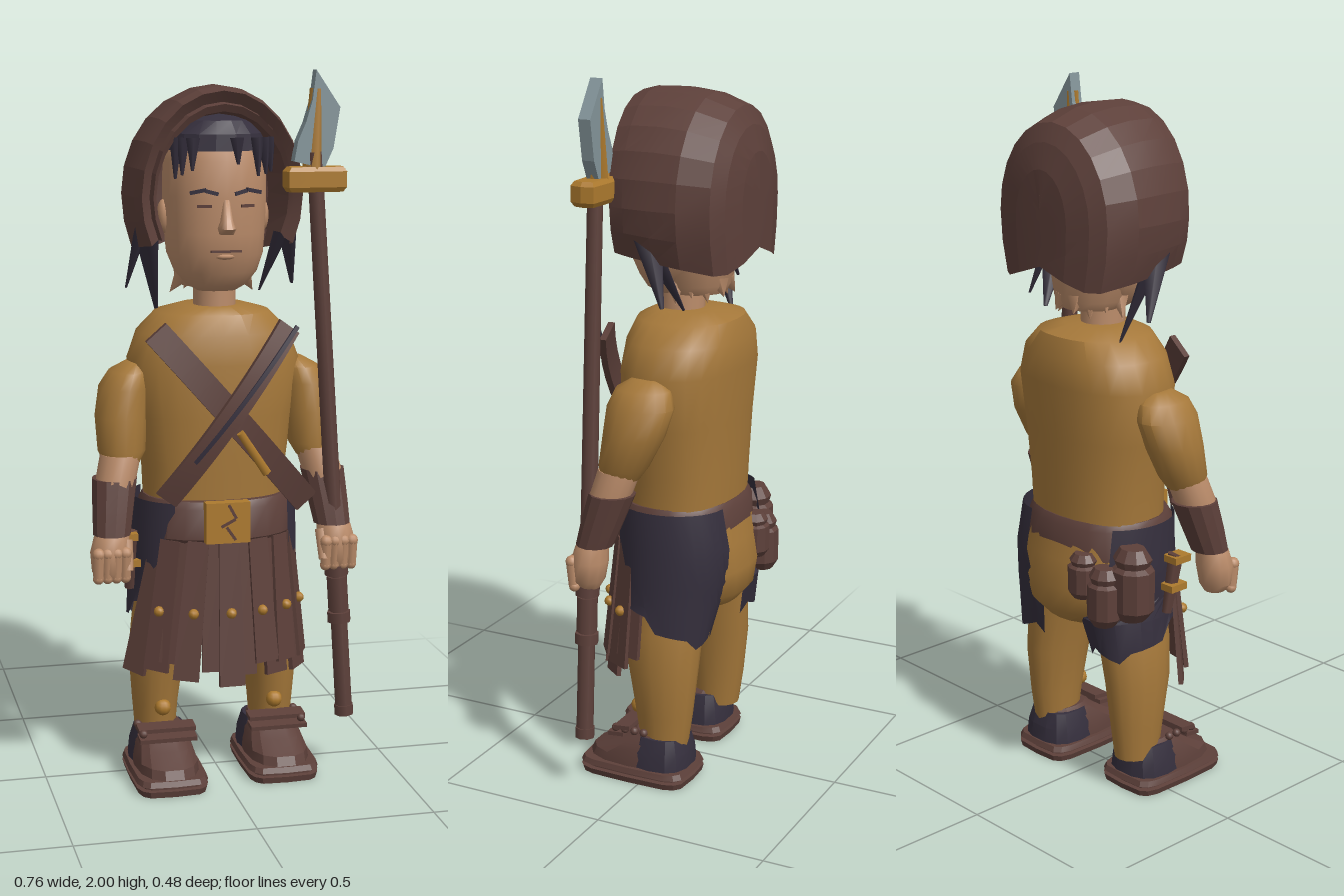
import * as THREE from 'three';
import { toCreasedNormals } from 'three/addons/utils/BufferGeometryUtils.js';

const V = (x, y, z) => new THREE.Vector3(x, y, z);

// Surface through rows of points; closed rows wrap around
function grid(rows, closed, crease) {
  const n = rows[0].length, pos = [], idx = [];
  rows.forEach(r => r.forEach(p => pos.push(p.x, p.y, p.z)));
  for (let i = 0; i < rows.length - 1; i++) {
    for (let j = 0; j < (closed ? n : n - 1); j++) {
      const k = (j + 1) % n, a = i * n + j, b = a + n, c = i * n + k, d = c + n;
      idx.push(a, b, c, b, d, c);
    }
  }
  const g = new THREE.BufferGeometry();
  g.setAttribute('position', new THREE.Float32BufferAttribute(pos, 3));
  g.setIndex(idx);
  return toCreasedNormals(g, crease);
}

// Closed body from upright rings [y, cx, cz, rx, rz]; pw < 1 is boxier
function loft(rings, sides = 16, pw = 1, crease = 0.8) {
  const first = rings[0], last = rings[rings.length - 1];
  const all = [[...first.slice(0, 3), 0, 0], ...rings, [...last.slice(0, 3), 0, 0]];
  const f = t => Math.sign(t) * Math.pow(Math.abs(t), pw);
  return grid(all.map(([y, cx, cz, rx, rz]) => Array.from({ length: sides }, (_, j) => {
    const a = j / sides * Math.PI * 2;
    return V(cx + rx * f(Math.cos(a)), y, cz + rz * f(Math.sin(a)));
  })), true, crease);
}

export function createModel() {
  const root = new THREE.Group();
  const mat = (name, color, side = THREE.FrontSide) => {
    const m = new THREE.MeshStandardMaterial({ color, side });
    m.name = name;
    return m;
  };
  const ochre = mat('ochre cloth', 0xa5783a), skin = mat('skin', 0xbb8c6a);
  const brown = mat('brown leather', 0x5d403a, THREE.DoubleSide);
  const dark = mat('dark hair and cloth', 0x352f3d, THREE.DoubleSide);
  const gold = mat('brass', 0xad7a2e), steel = mat('steel', 0x84959a);

  const add = (name, geo, m, x = 0, y = 0, z = 0) => {
    const o = new THREE.Mesh(geo, m);
    o.name = name;
    o.position.set(x, y, z);
    root.add(o);
    return o;
  };
  const box = (name, m, w, h, d, x, y, z) => add(name, new THREE.BoxGeometry(w, h, d), m, x, y, z);
  const ball = (name, m, r, x, y, z) => add(name, new THREE.SphereGeometry(r, 10, 8), m, x, y, z);
  // Tapered rod between two points
  const rod = (name, m, a, b, r0, r1, sides = 8) => {
    const o = add(name, new THREE.CylinderGeometry(r1, r0, a.distanceTo(b), sides), m);
    o.position.copy(a).add(b).multiplyScalar(0.5);
    o.quaternion.setFromUnitVectors(V(0, 1, 0), b.clone().sub(a).normalize());
    return o;
  };

  // Torso, neck and hips
  add('torso', loft([[0.78, 0, -0.03, 0.2, 0.15], [0.9, 0, -0.03, 0.205, 0.155], [1.05, 0, -0.03, 0.225, 0.16],
    [1.2, 0, -0.035, 0.245, 0.165], [1.28, 0, -0.04, 0.215, 0.16], [1.335, 0, -0.04, 0.16, 0.14],
    [1.355, 0, -0.03, 0.09, 0.09]], 24, 0.85), ochre);
  add('hips', loft([[0.51, 0, -0.08, 0.11, 0.1], [0.55, 0, -0.075, 0.17, 0.14], [0.62, 0, -0.065, 0.2, 0.158],
    [0.7, 0, -0.055, 0.205, 0.155], [0.8, 0, -0.04, 0.205, 0.15]], 20, 0.9), ochre);
  add('neck', loft([[1.33, 0, -0.01, 0.06, 0.065], [1.44, 0, -0.01, 0.06, 0.065]]), skin);
  add('nape', loft([[1.405, 0, -0.055, 0.085, 0.085], [1.43, 0, -0.05, 0.105, 0.105], [1.55, 0, -0.05, 0.125, 0.12]]), skin);

  // Head and face
  add('head', loft([[1.398, 0, 0.015, 0.055, 0.045], [1.415, 0, 0.01, 0.085, 0.075], [1.45, 0, 0, 0.115, 0.105],
    [1.5, 0, -0.01, 0.133, 0.138], [1.56, 0, -0.015, 0.138, 0.152], [1.66, 0, -0.015, 0.142, 0.155],
    [1.76, 0, -0.015, 0.14, 0.155], [1.83, 0, -0.02, 0.12, 0.135], [1.86, 0, -0.02, 0.06, 0.07]], 24, 0.9, 1.2), skin);
  add('nose', loft([[1.562, 0, 0.138, 0.02, 0.022], [1.578, 0, 0.142, 0.026, 0.037], [1.6, 0, 0.138, 0.017, 0.028],
    [1.655, 0, 0.128, 0.011, 0.014]], 10, 1, 1.2), skin);
  box('mouth', brown, 0.085, 0.006, 0.008, 0, 1.515, 0.133);
  ball('lowerLip', skin, 0.03, 0, 1.5, 0.107).scale.set(1.1, 0.35, 1);
  add('hairCap', loft([[1.785, 0, -0.025, 0.145, 0.163], [1.83, 0, -0.025, 0.132, 0.16], [1.865, 0, -0.025, 0.1, 0.13],
    [1.885, 0, -0.025, 0.04, 0.06]], 18, 0.9, 0.3), dark);
  [-0.128, -0.112, -0.088, 0.03, 0.088, 0.112, 0.128].forEach((x, i) => {
    const z = 0.137 - x * x * 2.8;
    rod('fringe', dark, V(x, 1.82, z), V(x * 1.04, 1.73 + Math.abs(x) * -0.15 + (i * 5 % 4) * 0.008, z + 0.008), 0.02, 0.004, 5);
  });
  for (const s of [1, -1]) {
    for (const [x, y, w, tilt] of [[0.04, 1.675, 0.036, 0.25], [0.077, 1.678, 0.045, -0.2]]) {
      box('eyebrow', dark, w, 0.01, 0.012, s * x, y, 0.136 - x * x * 1.3).rotation.set(0, s * x * 4, s * tilt);
    }
    const eye = box('eye', brown, 0.04, 0.008, 0.008, s * 0.06, 1.638, 0.131);
    eye.rotation.y = s * 0.3;
    ball('ear', skin, 0.04, s * 0.14, 1.6, -0.03).scale.set(0.5, 1.2, 0.8);
    // Loose locks below the hood
    rod('lock', dark, V(s * 0.2, 1.58, 0), V(s * 0.15, s > 0 ? 1.38 : 1.33, -0.09), 0.05, 0.006, 5).scale.z = 0.5;
    rod('lock', dark, V(s * 0.205, 1.58, -0.01), V(s * 0.24, 1.4, -0.07), 0.04, 0.006, 5).scale.z = 0.5;
    for (let i = 0; i < 4; i++) {
      rod('napeTuft', skin, V(s * (0.085 - i * 0.02), 1.44, -0.03 - i * 0.035),
        V(s * (0.12 - i * 0.028), 1.385 + i % 2 * 0.015, -0.05 - i * 0.035), 0.028, 0, 5);
    }
  }

  // Hood: arches [z, half width, top, bottom], from the inner lining over the rim to the back
  const arches = [[-0.05, 0.165, 1.87, 1.56], [0.095, 0.185, 1.89, 1.56], [0.105, 0.195, 1.91, 1.545],
    [0.075, 0.2, 1.915, 1.545], [0.095, 0.225, 1.945, 1.53], [0.05, 0.238, 1.957, 1.525], [-0.03, 0.246, 1.96, 1.515],
    [-0.11, 0.244, 1.95, 1.505], [-0.195, 0.213, 1.92, 1.49], [-0.22, 0.17, 1.87, 1.49], [-0.238, 0.1, 1.8, 1.51],
    [-0.243, 0, 1.7, 1.54]];
  add('hood', grid(arches.map(([z, rx, top, bottom]) => {
    const row = [V(rx * 0.88, bottom, z), V(rx * 0.97, (bottom + 1.66) / 2, z)];
    for (let j = 0; j <= 12; j++) {
      const a = j / 12 * Math.PI;
      row.push(V(rx * Math.cos(a), 1.66 + (top - 1.66) * Math.sin(a), z + (z > 0 ? 0.012 : 0) * Math.sin(a)));
    }
    row.push(V(-rx * 0.97, (bottom + 1.66) / 2, z), V(-rx * 0.88, bottom, z));
    return row.reverse();
  }), false, 0.2), brown);

  for (const s of [1, -1]) {
    // Arms
    add('sleeve', loft([[0.925, s * 0.277, 0.04, 0.05, 0.055], [0.96, s * 0.275, 0.03, 0.068, 0.07],
      [1.05, s * 0.272, 0, 0.073, 0.088], [1.13, s * 0.26, -0.015, 0.07, 0.097], [1.175, s * 0.245, -0.015, 0.055, 0.08],
      [1.2, s * 0.23, -0.015, 0.025, 0.04]]), ochre);
    add('forearm', loft([[0.74, s * 0.315, 0.095, 0.04, 0.04], [0.88, s * 0.298, 0.06, 0.057, 0.06],
      [0.95, s * 0.28, 0.04, 0.058, 0.06]]), skin);
    add('bracer', loft([[0.735, s * 0.317, 0.1, 0.053, 0.053], [0.8, s * 0.31, 0.08, 0.058, 0.06],
      [0.885, s * 0.3, 0.053, 0.064, 0.066]], 12, 1, 0.3), brown);
    add('hand', loft([[0.61, s * 0.325, 0.115, 0.03, 0.03], [0.635, s * 0.327, 0.115, 0.05, 0.045],
      [0.69, s * 0.325, 0.112, 0.056, 0.052], [0.73, s * 0.32, 0.108, 0.05, 0.045], [0.76, s * 0.315, 0.1, 0.04, 0.04]], 12), skin);
    for (let i = 0; i < 4; i++) {
      const x = s * (0.288 + i * 0.025);
      rod('finger', skin, V(x, 0.69, 0.148), V(x, 0.62, 0.142), 0.017, 0.015);
      ball('knuckle', skin, 0.018, x, 0.69, 0.148);
      ball('fingertip', skin, 0.016, x, 0.62, 0.141);
    }
    rod('thumb', skin, V(s * 0.28, 0.72, 0.12), V(s * 0.28, 0.64, 0.15), 0.018, 0.014);

    // Legs and thigh guards; the right guard sits lower at the back
    add('leg', loft([[0.1, s * 0.172, -0.04, 0.058, 0.07], [0.2, s * 0.172, -0.04, 0.066, 0.085],
      [0.34, s * 0.168, -0.035, 0.08, 0.105], [0.45, s * 0.15, -0.03, 0.088, 0.115], [0.62, s * 0.115, -0.03, 0.09, 0.12]]), ochre);
    ball('kneeStud', gold, 0.024, s * 0.165, 0.2, 0.045);
    const back = s > 0 ? -88 : -50, front = s > 0 ? 50 : 72;
    const guard = [[0.815, 0.1, -0.03, 0.135, 0.158, back], [0.7, 0.1, -0.04, 0.142, 0.17, back],
      [0.6, 0.115, -0.04, 0.13, 0.16, back - 12], [0.54, 0.128, -0.038, 0.12, 0.148, -115], [0.42, 0.152, -0.035, 0.1, 0.13, -120]];
    add('thighGuard', grid(guard.map(([y, cx, cz, rx, rz, from], i) => Array.from({ length: 13 }, (_, j) => {
      const a = (from + j * (front - from) / 12) * Math.PI / 180;
      const drop = i === 4 ? (j * 3 % 4) * 0.01 + Math.max(0, j - 5) * 0.016 : 0;
      return V(s * (cx + rx * Math.cos(a)), y + drop, cz + rz * Math.sin(a));
    })), false, 0.5), dark);

    // Shoes; the left one stands a little further back
    const z = s > 0 ? 0.035 : 0.07, x = s * 0.166;
    add('sole', loft([[0, x, z, 0.1, 0.163], [0.018, x, z, 0.105, 0.167], [0.02, x, z, 0.093, 0.155], [0.028, x, z, 0.093, 0.155],
      [0.03, x, z, 0.105, 0.167], [0.045, x, z, 0.1, 0.16]], 16, 0.38, 0.3), brown);
    add('shoe', loft([[0.045, x, z + 0.005, 0.09, 0.152], [0.07, x, z, 0.088, 0.145], [0.1, x, z - 0.025, 0.08, 0.11],
      [0.13, x, z - 0.05, 0.07, 0.08], [0.145, x, z - 0.06, 0.06, 0.068]], 14, 0.8, 0.4), brown);
    add('heelCap', loft([[0.046, x, z - 0.065, 0.093, 0.092], [0.09, x, z - 0.068, 0.088, 0.085],
      [0.135, x, z - 0.07, 0.074, 0.07]], 14, 0.75, 0.4), dark);
    for (const [y, dz] of [[0.135, 0.045], [0.158, 0.025]]) {
      box('ankleStrap', brown, 0.165, 0.012, 0.05, x, y, z + dz).rotation.x = 0.1;
    }
    for (let i = 0; i < 4; i++) ball('ankleBead', brown, 0.012, x + s * 0.07, 0.15, z - 0.04 + i * 0.03);
  }

  // Belt and buckle
  add('belt', loft([[0.7, 0, -0.02, 0.218, 0.172], [0.715, 0, -0.02, 0.225, 0.182], [0.8, 0, -0.02, 0.215, 0.178],
    [0.82, 0, -0.02, 0.205, 0.165]], 24, 0.9, 0.6), brown);
  box('buckle', gold, 0.125, 0.115, 0.035, -0.005, 0.768, 0.166);
  [[0.012, 0.8, 0.5], [0, 0.768, -1.1], [0.008, 0.738, 0.6]].forEach(([x, y, r]) => {
    box('buckleGroove', brown, 0.008, 0.045, 0.006, x - 0.005, y, 0.183).rotation.z = r;
  });

  // Skirt of overlapping leather strips, every other one studded
  for (let i = 0; i < 13; i++) {
    const a = (8 + i * 11.6) * Math.PI / 180, len = 0.33 + (i * 7 % 5) * 0.014 + 0.025 * Math.sin(a);
    const g = new THREE.Group();
    g.name = 'skirtStrip';
    g.position.set(0.21 * Math.cos(a), 0.71, 0.005 + 0.148 * Math.sin(a));
    g.rotation.set(0, Math.atan2(Math.cos(a) * 0.7, Math.sin(a)), 0);
    const strip = new THREE.CylinderGeometry(0.042, 0.052, len, 4, 1);
    strip.rotateY(Math.PI / 4).scale(1.0, 1, 0.18).translate(0, -len / 2, 0.006 * (i % 2));
    const m = new THREE.Mesh(toCreasedNormals(strip, 0.3), brown);
    m.name = 'strip';
    m.rotation.set(-0.1, 0, -0.14 * Math.max(0, i - 7) / 5 + (i % 3 - 1) * 0.03);
    g.add(m);
    if (i % 2) {
      const stud = new THREE.Mesh(new THREE.SphereGeometry(0.015, 8, 6), gold);
      stud.name = 'stud';
      stud.position.set(-0.03 * Math.max(0, i - 7) / 5, -0.2, 0.036);
      g.add(stud);
    }
    root.add(g);
  }

  // Pouches behind the right hip, and a small sheathed knife
  [[-0.24, 0.67, -0.125, 0.065, 0.105], [-0.185, 0.63, -0.18, 0.052, 0.085], [-0.11, 0.675, -0.19, 0.046, 0.065]].forEach(([x, y, z, r, h]) => {
    add('pouch', loft([[y - h, x, z, r * 0.6, r * 0.6], [y - h * 0.7, x, z, r, r * 0.9], [y + h * 0.4, x, z, r, r * 0.9],
      [y + h * 0.5, x, z, r * 0.75, r * 0.7], [y + h * 0.7, x, z, r * 0.9, r * 0.8], [y + h, x, z, r * 0.6, r * 0.5]], 10, 1, 0.3), brown);
  });
  rod('hipSheath', brown, V(-0.255, 0.72, 0.03), V(-0.25, 0.55, 0.0), 0.025, 0.015, 6);
  box('sheathBand', gold, 0.06, 0.02, 0.06, -0.255, 0.63, 0.015);
  box('sheathBand', gold, 0.05, 0.02, 0.06, -0.26, 0.71, 0.03);

  // Crossed chest straps, bowed over the chest
  const strap = (name, m, x0, y0, x1, y1, w, z, t) => {
    const len = Math.hypot(x1 - x0, y1 - y0), g = new THREE.BoxGeometry(w, len, t, 1, 10, 1), p = g.attributes.position;
    for (let i = 0; i < p.count; i++) p.setZ(i, p.getZ(i) - 0.55 * p.getY(i) ** 2);
    g.computeVertexNormals();
    add(name, g, m, (x0 + x1) / 2, (y0 + y1) / 2, z).rotation.z = Math.atan2(x0 - x1, y1 - y0);
  };
  strap('chestStrap', brown, 0.24, 0.8, -0.19, 1.295, 0.075, 0.16, 0.02);
  strap('chestSheath', brown, -0.17, 0.83, 0.18, 1.305, 0.065, 0.178, 0.02);
  strap('sheathSeam', dark, -0.16, 0.86, 0.2, 1.305, 0.012, 0.188, 0.008);
  rod('strapKnife', gold, V(0.11, 0.9, 0.16), V(0.03, 1.02, 0.175), 0.014, 0.012, 6);

  // Spear held in the left hand
  const at = y => V(0.355 - (y - 0.17) * 0.0655, y, 0.12);
  rod('spearShaft', brown, at(0.17), at(1.78), 0.025, 0.022);
  for (const [y, h, r] of [[0.46, 0.03, 0.034], [0.53, 0.1, 0.03], [0.6, 0.03, 0.035], [0.18, 0.03, 0.028]]) {
    rod('spearGrip', brown, at(y - h / 2), at(y + h / 2), r, r);
  }
  add('crossguard', loft([[1.672, 0.253, 0.115, 0.08, 0.03], [1.685, 0.253, 0.115, 0.09, 0.038],
    [1.728, 0.253, 0.115, 0.09, 0.038], [1.74, 0.253, 0.115, 0.08, 0.03]], 8, 0.28, 0.2), gold);
  const blade = new THREE.Shape([[0.19, 1.755], [0.275, 1.735], [0.3, 1.79], [0.318, 1.9], [0.25, 2], [0.24, 1.92],
    [0.222, 1.86], [0.2, 1.81]].map(([x, y]) => new THREE.Vector2(x, y)));
  add('spearBlade', new THREE.ExtrudeGeometry(blade, { depth: 0.036, bevelEnabled: false }), steel, 0, 0, 0.097);
  rod('bladeSpine', gold, V(0.25, 1.73, 0.116), V(0.258, 1.95, 0.116), 0.034, 0.022, 4);
  return root;
}
